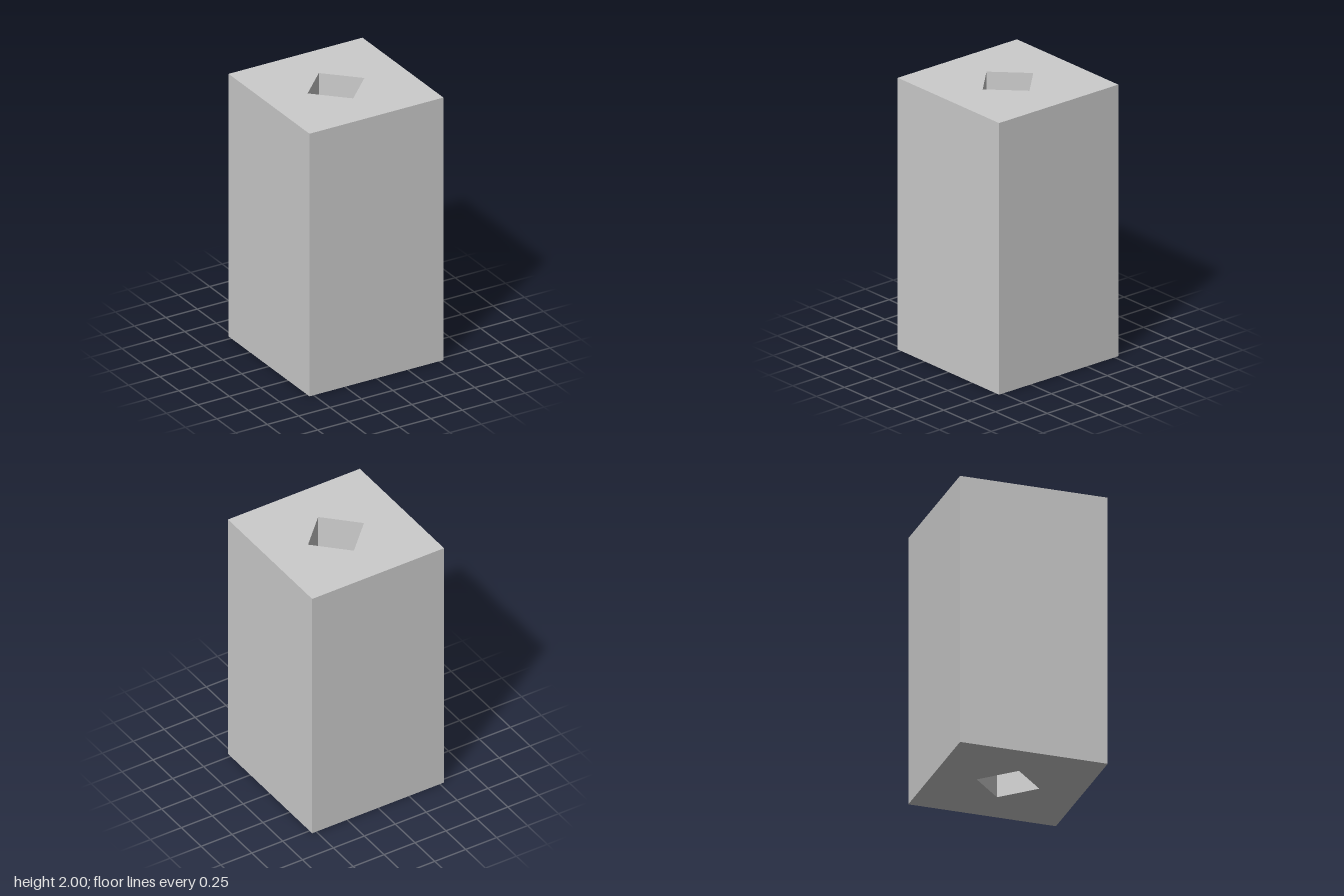
import * as THREE from 'three';

const HALF = 0.533;  // half width of the square column
const HOLE = 0.226;  // centre to corner of the diamond hole
const HEIGHT = 2;

export function createModel() {
  const group = new THREE.Group();
  group.name = 'boredColumn';

  // Square outline with a diamond hole running the full height
  const outline = new THREE.Shape([
    new THREE.Vector2(-HALF, -HALF),
    new THREE.Vector2(HALF, -HALF),
    new THREE.Vector2(HALF, HALF),
    new THREE.Vector2(-HALF, HALF),
  ]);
  outline.holes.push(new THREE.Path([
    new THREE.Vector2(HOLE, 0),
    new THREE.Vector2(0, -HOLE),
    new THREE.Vector2(-HOLE, 0),
    new THREE.Vector2(0, HOLE),
  ]));

  // Extrude, then stand upright on y = 0
  const geometry = new THREE.ExtrudeGeometry(outline, { depth: HEIGHT, bevelEnabled: false });
  geometry.rotateX(-Math.PI / 2);

  const column = new THREE.Mesh(
    geometry,
    new THREE.MeshStandardMaterial({ color: 0xcccccc, flatShading: true }),
  );
  column.name = 'column';
  group.add(column);
  return group;
}
